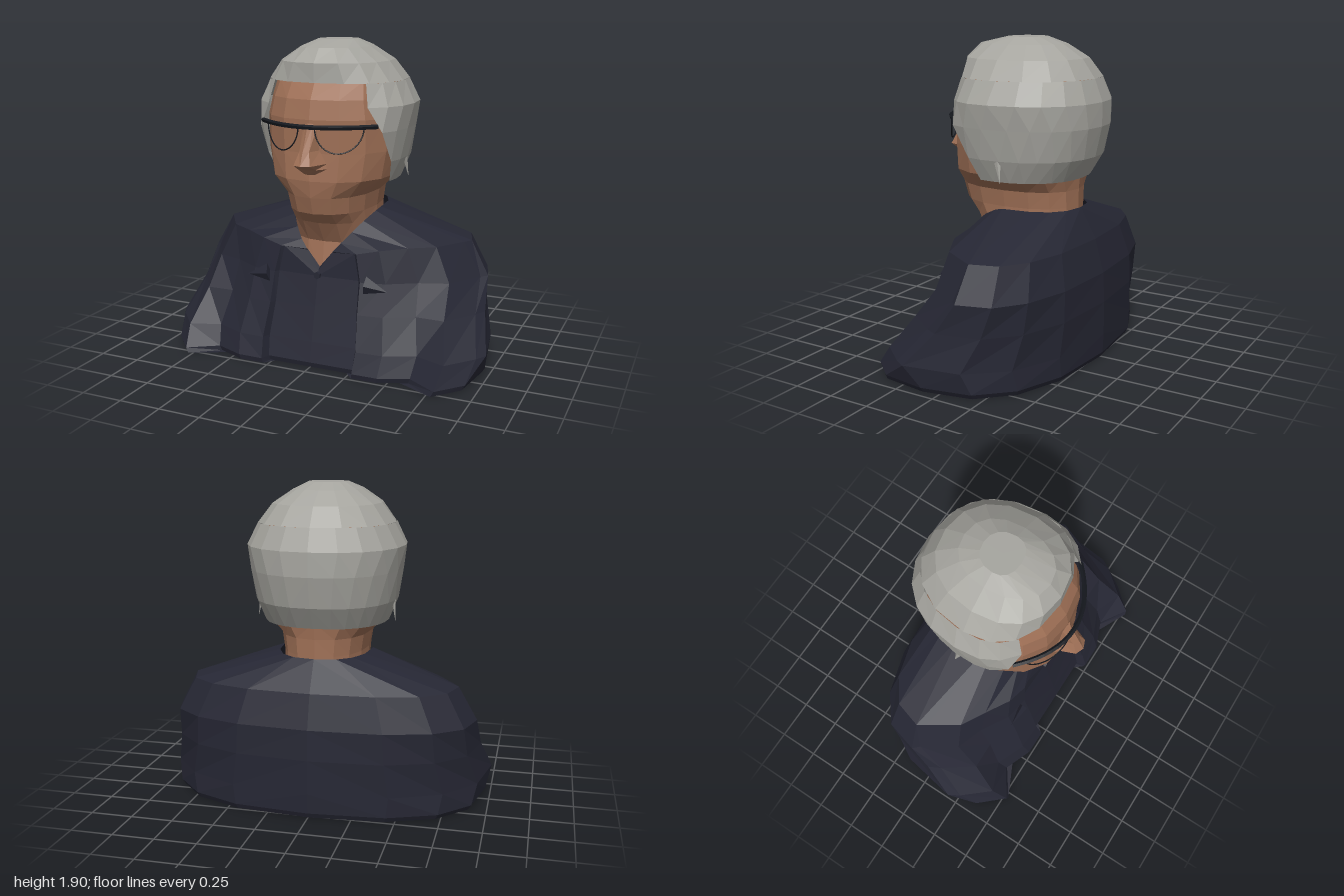
import * as THREE from 'three';

const flat = (name, color, side = THREE.FrontSide) => {
  const m = new THREE.MeshStandardMaterial({ color, flatShading: true, side });
  m.name = name;
  return m;
};

// Half of a rounded cross-section, from angle `start` off the front round to the back
function oval(y, w, front, back, start = 0) {
  const pts = [], steps = 8, round = v => Math.pow(Math.abs(v), 0.88);
  for (let i = 0; i <= steps; i++) {
    const t = start + (Math.PI - start) * i / steps, c = Math.cos(t);
    pts.push([i === steps || t === 0 ? 0 : w * round(Math.sin(t)), y, (c > 0 ? front : back) * round(c)]);
  }
  return pts;
}

// Half jacket section: stepped lapel and sleeve bulge in front, rounded back.
// `sweep` pulls the side of the front backwards, `dip` lowers the middle of the front.
function jacketSection(y, w, front, back, side, sweep, dip = 0, dipPower = 1) {
  const across = [0, .28, .3, .46, .64, .82, .96], bulge = [0, 0, .06, .06, -.01, .11, -.04];
  const pts = across.map((f, i) => [
    f * w, y - dip * (1 - f) ** dipPower, front + bulge[i] * (1 - y) - sweep * f ** 3]);
  for (let j = 0; j <= 4; j++) {
    const t = j * Math.PI / 8;
    pts.push([j === 4 ? 0 : w * Math.cos(t) ** .8, y, side + (back - side) * Math.sin(t) ** .8]);
  }
  return pts;
}

// Mirrors half sections in x and skins them from bottom to top
function loft(halves, { open = false, bottom = false, top = false } = {}) {
  const rings = halves.map(h =>
    h.concat(h.filter(p => p[0] !== 0).reverse().map(([x, y, z]) => [-x, y, z])));
  const n = rings[0].length, half = halves[0].length, pos = rings.flat(2), idx = [];
  for (let r = 0; r < rings.length - 1; r++) {
    for (let i = 0; i < (open ? n - 1 : n); i++) {
      const a = r * n + i, b = r * n + (i + 1) % n, c = b + n, d = a + n;
      // mirror the diagonal on the far half
      if (i < half - 1) idx.push(a, b, c, a, c, d);
      else idx.push(a, b, d, b, c, d);
    }
  }
  const cap = (r, up) => {
    const k = pos.length / 3;
    pos.push(...[0, 1, 2].map(axis => rings[r].reduce((s, p) => s + p[axis] / n, 0)));
    for (let i = 0; i < n; i++) {
      const a = r * n + i, b = r * n + (i + 1) % n;
      idx.push(k, ...(up ? [a, b] : [b, a]));
    }
  };
  if (bottom) cap(0, false);
  if (top) cap(rings.length - 1, true);
  const g = new THREE.BufferGeometry();
  g.setAttribute('position', new THREE.Float32BufferAttribute(pos, 3));
  g.setIndex(idx);
  g.computeVertexNormals();
  return g;
}

export function createModel() {
  const model = new THREE.Group();
  model.name = 'bust';
  const cloth = flat('dark navy cloth', 0x262734, THREE.DoubleSide);
  const skin = flat('skin', 0x9f7056);
  const grey = flat('grey hair', 0xa6a59f, THREE.DoubleSide);
  const black = flat('black frame', 0x15181e);
  const group = name => {
    const g = new THREE.Group();
    g.name = name;
    model.add(g);
    return g;
  };
  const add = (name, geo, mat, parent = model) => {
    const m = new THREE.Mesh(geo, mat);
    m.name = name;
    parent.add(m);
    return m;
  };

  // Jacket and shirt, rising to sloping shoulders and a V collar
  add('jacket', loft([
    jacketSection(0, .95, .42, -.52, .1, 0),
    jacketSection(.03, .97, .43, -.535, .1, .02),
    jacketSection(.15, 1, .4, -.54, .2, .11),
    jacketSection(.35, .94, .35, -.54, .02, .26),
    jacketSection(.53, .92, .31, -.53, -.1, .4),
    jacketSection(.73, .81, .3, -.475, -.12, .4, .17, 4),
    jacketSection(.91, .275, .28, -.375, 0, .25, .33),
  ], { bottom: true }), cloth);

  // Shirt button and the pointed lapel corners
  const button = add('shirtButton', new THREE.CylinderGeometry(.022, .022, .02, 6), cloth);
  button.rotation.x = Math.PI / 2;
  button.position.set(0, .535, .315);
  for (const s of [1, -1]) {
    const corner = add('lapelCorner', new THREE.ConeGeometry(.055, .14, 4), cloth);
    corner.scale.z = .5;
    corner.rotation.z = s * -1.75;
    corner.position.set(s * .38, .51, .34);
  }

  // Neck, jutting chin, face and forehead: height, half width, front, back
  add('face', loft([
    [.5, .23, .25, -.34],
    [.72, .25, .22, -.355],
    [.85, .25, .3, -.36],
    [.92, .25, .375, -.36],
    [1.02, .265, .405, -.36],
    [1.12, .37, .42, -.37],
    [1.28, .4, .41, -.42],
    [1.47, .4, .415, -.44],
    [1.58, .375, .395, -.42],
    [1.68, .35, .335, -.38],
  ].map(r => oval(...r)), { top: true }), skin);

  // Wedge nose: height, half width, tip
  add('nose', loft([
    [1.16, .07, .43],
    [1.195, .11, .47],
    [1.225, .1, .535],
    [1.3, .06, .5],
    [1.45, .045, .43],
  ].map(([y, w, tip]) => [[0, y, tip], [w / 2, y, tip - .02], [w, y, .39], [0, y, .35]]),
  { bottom: true, top: true }), skin);

  // Hair: cap above the forehead, then sides and back framing the face
  const hair = group('hair');
  add('hairCap', loft([
    oval(1.67, .405, .35, -.455),
    oval(1.78, .32, .35, -.375),
    oval(1.86, .2, .28, -.25),
    oval(1.9, .12, .1, -.13),
  ], { top: true }), grey, hair);
  add('hairSides', loft([
    oval(1.09, .37, .35, -.385, 1.35),
    oval(1.22, .42, .38, -.465, 1.2),
    oval(1.4, .45, .45, -.505, .98),
    oval(1.54, .47, .38, -.505, .67),
    oval(1.67, .405, .35, -.455, .73),
  ], { open: true }), grey, hair);
  for (const s of [1, -1]) {
    // Lock of hair folded over the ear
    const lock = add('earLock', new THREE.ConeGeometry(.045, .26, 5), grey, hair);
    lock.scale.x = .6;
    lock.rotation.set(Math.PI + .2, 0, s * -.12);
    lock.position.set(s * .405, 1.22, -.05);
  }

  // Glasses: heavy brow bar and thin wire rims, all on one curve round the face
  const glasses = group('glasses');
  const wire = (name, radius, point) => {
    const pts = Array.from({ length: 13 }, (_, i) => {
      const [x, y] = point(i / 12);
      return new THREE.Vector3(x, y, .455 - 1.35 * x * x);
    });
    add(name, new THREE.TubeGeometry(new THREE.CatmullRomCurve3(pts), 18, radius, 5), black, glasses);
  };
  wire('browBar', .014, u => [.72 * u - .36, 1.435]);
  for (const s of [1, -1]) {
    wire('lensRim', .004, u => [
      s * (.175 - .125 * Math.cos(Math.PI * u)), 1.435 - .145 * Math.sin(Math.PI * u)]);
  }
  return model;
}
